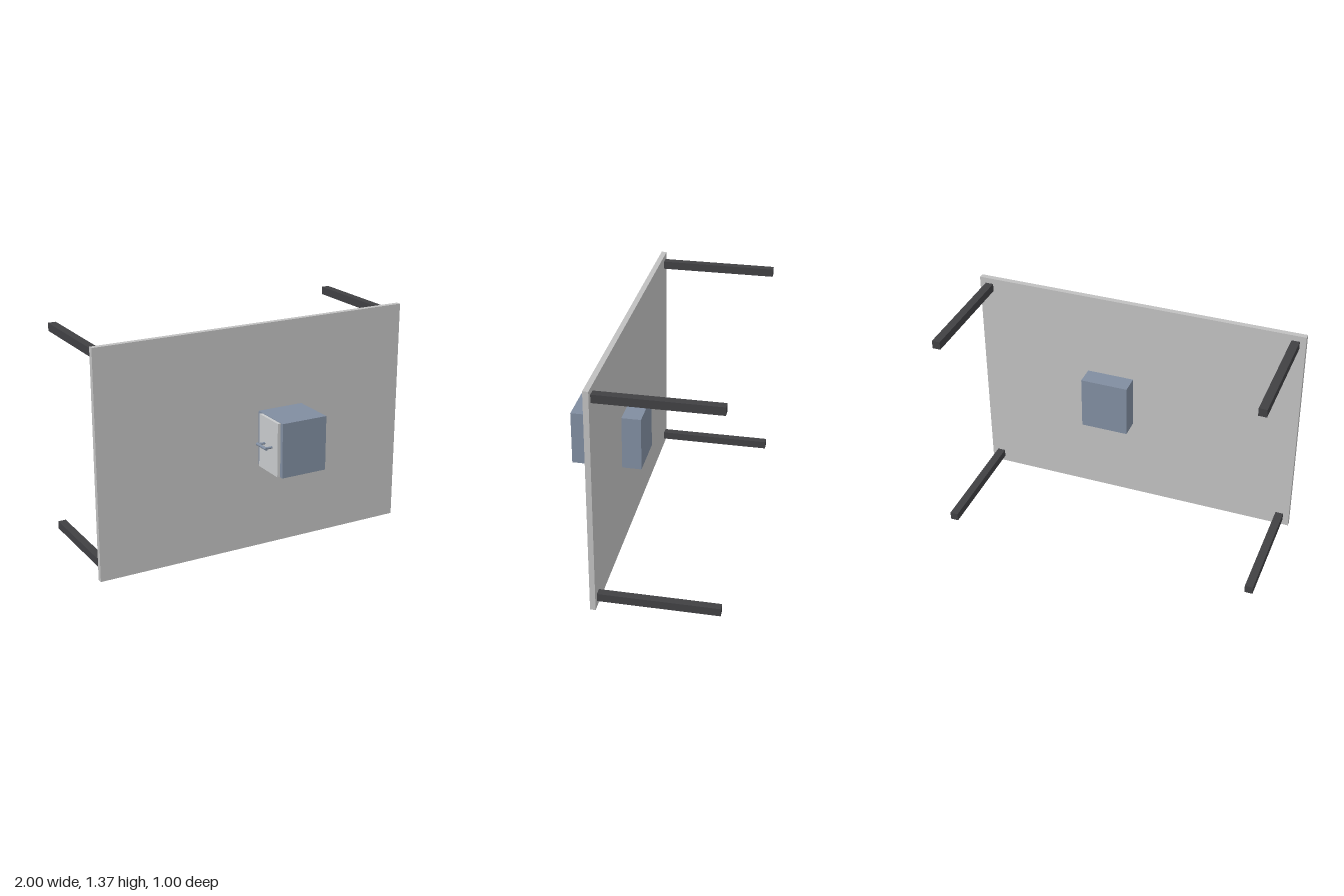
import * as THREE from 'three';

const material = (name, color) => {
  const m = new THREE.MeshStandardMaterial({ color });
  m.name = name;
  return m;
};

export function createModel() {
  const grey = material('board grey', 0xc0c0c0);
  const dark = material('leg charcoal', 0x404043);
  const blue = material('cabinet slate blue', 0x808da0);
  const pale = material('drawer pale grey', 0xc8cacc);

  const model = new THREE.Group();
  model.name = 'table';

  // Box given by its extent on each axis
  const box = (name, mat, [x0, x1], [y0, y1], [z0, z1], parent = model) => {
    const mesh = new THREE.Mesh(new THREE.BoxGeometry(x1 - x0, y1 - y0, z1 - z0), mat);
    mesh.position.set((x0 + x1) / 2, (y0 + y1) / 2, (z0 + z1) / 2);
    mesh.name = name;
    parent.add(mesh);
  };

  // Upright table top
  box('tableTop', grey, [-1, 1], [0, 1.367], [0.198, 0.23]);

  // Four legs reaching backwards
  for (const x of [-0.94, 0.94])
    for (const y of [0.06, 1.309])
      box('leg', dark, [x - 0.024, x + 0.024], [y - 0.024, y + 0.024], [-0.5, 0.198]);

  // Cabinet set through the top, with a drawer front on its right side
  box('cabinet', blue, [0.022, 0.312], [0.522, 0.85], [0.083, 0.5]);
  box('drawerFront', pale, [0.003, 0.022], [0.525, 0.847], [0.272, 0.476]);

  // Bar handle on two posts
  const handle = new THREE.Group();
  handle.name = 'handle';
  const rod = (name, radius, length) => {
    const mesh = new THREE.Mesh(new THREE.CylinderGeometry(radius, radius, length, 16), blue);
    mesh.name = name;
    handle.add(mesh);
    return mesh;
  };
  const bar = rod('handleBar', 0.009, 0.105);
  bar.rotation.x = Math.PI / 2;
  bar.position.set(-0.04, 0.687, 0.373);
  for (const z of [0.333, 0.413]) {
    const post = rod('handlePost', 0.007, 0.043);
    post.rotation.z = Math.PI / 2;
    post.position.set(-0.0185, 0.687, z);
  }
  model.add(handle);

  return model;
}
